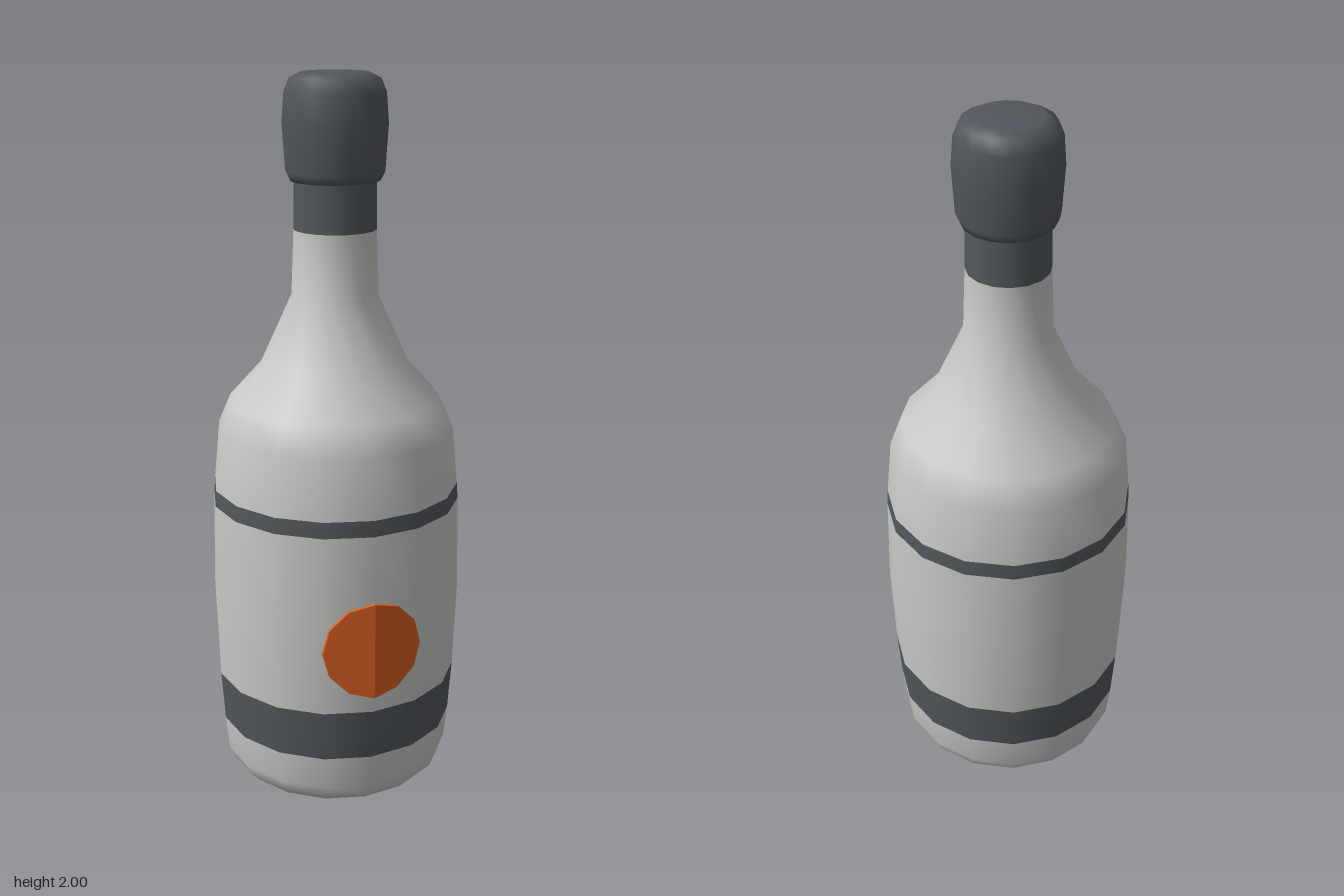
import * as THREE from 'three';

const SIDES = 16;

// One smooth lathe, cut into coloured rings that share the same normals.
function turned(profile, rings) {
  const full = new THREE.LatheGeometry(profile.map(([r, y]) => new THREE.Vector2(r, y)), SIDES);
  const index = Array.from(full.index.array);
  const rows = profile.length - 1;
  return rings.map(([name, material, from, to]) => {
    const part = [];
    for (let i = 0; i < SIDES; i++) {
      part.push(...index.slice((i * rows + from) * 6, (i * rows + to) * 6));
    }
    const geometry = full.clone();
    geometry.setIndex(part);
    const mesh = new THREE.Mesh(geometry, material);
    mesh.name = name;
    return mesh;
  });
}

function makeMaterial(name, color) {
  const material = new THREE.MeshStandardMaterial({ color });
  material.name = name;
  return material;
}

export function createModel() {
  const group = new THREE.Group();
  group.name = 'bottle';
  const glass = makeMaterial('pale grey', 0xc6c9c6);
  const dark = makeMaterial('dark slate', 0x52575d);
  const orange = makeMaterial('orange', 0xd95f22);

  // Body, shoulder and neck with painted bands
  const body = [
    [0, 0.005], [0.24, 0.004], [0.29, 0.013], [0.312, 0.035], [0.326, 0.07],
    [0.336, 0.167], [0.346, 0.313], [0.355, 0.57], [0.349, 0.83], [0.346, 0.875],
    [0.33, 1.04], [0.296, 1.12], [0.206, 1.22], [0.12, 1.41], [0.113, 1.59], [0.111, 1.74],
  ];
  group.add(...turned(body, [
    ['base', glass, 0, 5],
    ['lowerBand', dark, 5, 6],
    ['belly', glass, 6, 8],
    ['upperBand', dark, 8, 9],
    ['shoulderAndNeck', glass, 9, 14],
    ['neckSleeve', dark, 14, 15],
  ]));

  // Stopper
  const cap = [
    [0, 1.72], [0.122, 1.72], [0.134, 1.745], [0.142, 1.87],
    [0.136, 1.95], [0.121, 1.985], [0.09, 2], [0, 2],
  ];
  group.add(...turned(cap, [['cap', dark, 0, 7]]));
  group.children.forEach((mesh) => { mesh.position.z = -0.004; });

  // Round badge, folded to follow the two front facets
  const disc = new THREE.CylinderGeometry(0.139, 0.139, 0.018, 12).rotateX(Math.PI / 2).toNonIndexed();
  const p = disc.attributes.position;
  for (let i = 0; i < p.count; i++) p.setZ(i, p.getZ(i) - 0.19 * Math.abs(p.getX(i)));
  disc.computeVertexNormals();
  const badge = new THREE.Mesh(disc, orange);
  badge.name = 'badge';
  badge.position.set(0, 0.502, 0.35);
  group.add(badge);

  return group;
}
